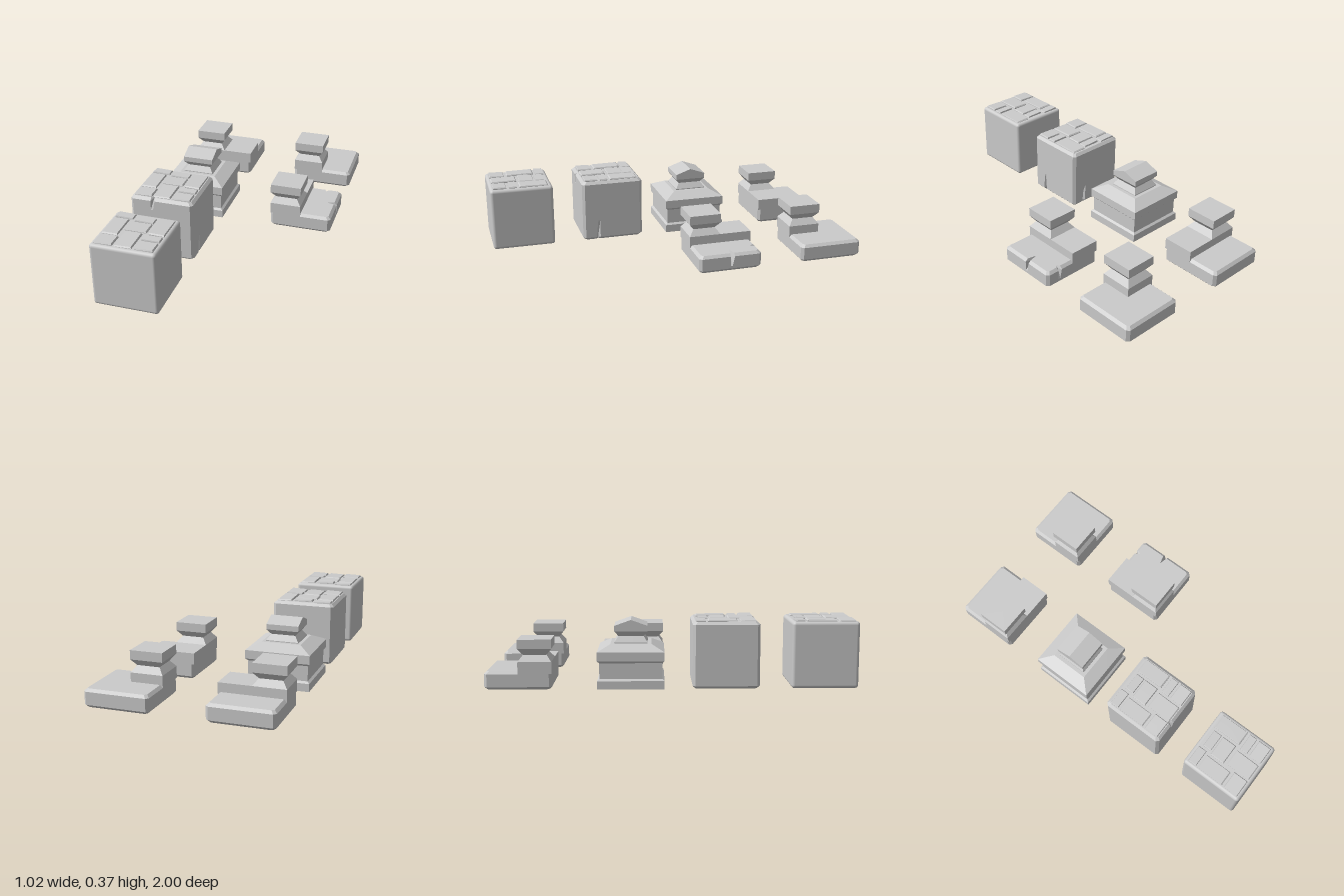
import * as THREE from 'three';
import { RoundedBoxGeometry } from 'three/addons/geometries/RoundedBoxGeometry.js';

const flat = new THREE.MeshStandardMaterial({ color: 0xcccccc, flatShading: true });
const smooth = new THREE.MeshStandardMaterial({ color: 0xcccccc });

// Square outline with cut corners; notch = { face: [offset, depth] }, faces 0..3 = +x, +z, -x, -z
function outline(half, y, cut = 0, notch = {}) {
  const pts = [];
  for (let f = 0; f < 4; f++) {
    const [t, d] = notch[f] || [0, 0];
    const a = f * Math.PI / 2, c = Math.cos(a), s = Math.sin(a), e = half - cut;
    for (const [u, v] of [[half, -e], [half, t - 0.012], [half - d, t], [half, t + 0.012], [half, e]]) {
      pts.push(new THREE.Vector3(u * c - v * s, y, u * s + v * c));
    }
  }
  return pts;
}

// Skin a stack of outlines [half, y, cut, notch] and close both ends
function loft(rows) {
  const rings = rows.map((r) => outline(...r));
  const pos = [];
  const tri = (...p) => p.forEach((v) => pos.push(v.x, v.y, v.z));
  const n = rings[0].length;
  const first = rings[0], last = rings[rings.length - 1];
  const c0 = new THREE.Vector3(0, first[0].y, 0), c1 = new THREE.Vector3(0, last[0].y, 0);
  for (let i = 0; i < n; i++) {
    const j = (i + 1) % n;
    tri(c0, first[i], first[j]);
    tri(c1, last[j], last[i]);
    for (let k = 0; k + 1 < rings.length; k++) {
      const a = rings[k], b = rings[k + 1];
      tri(a[i], b[i], a[j]);
      tri(a[j], b[i], b[j]);
    }
  }
  const g = new THREE.BufferGeometry();
  g.setAttribute('position', new THREE.Float32BufferAttribute(pos, 3));
  g.computeVertexNormals();
  return g;
}

function add(parent, name, geometry, x = 0, y = 0, z = 0, material = flat) {
  const m = new THREE.Mesh(geometry, material);
  m.name = name;
  m.position.set(x, y, z);
  parent.add(m);
  return m;
}

function piece(parent, name, x, z) {
  const g = new THREE.Group();
  g.name = name;
  g.position.set(x, 0, z);
  parent.add(g);
  return g;
}

// Paving stones: x0, z0, x1, z1 across the top, measured from the cube's centre
const STONES = [
  [-0.16, -0.16, -0.06, -0.11], [-0.16, -0.10, -0.075, 0.06], [-0.16, 0.075, -0.06, 0.16],
  [-0.045, -0.145, 0.06, -0.095], [-0.06, -0.085, 0.06, 0.0], [-0.05, 0.015, 0.045, 0.16],
  [0.075, -0.155, 0.16, 0.01], [0.06, 0.025, 0.16, 0.07], [0.06, 0.085, 0.16, 0.16],
];
function paving(parent) {
  const stone = loft([[0.5, 0], [0.5, 0.010], [0.46, 0.016]]);
  STONES.forEach(([x0, z0, x1, z1], i) => {
    const m = add(parent, 'pavingStone', stone, (x0 + x1) / 2, 0.353, (z0 + z1) / 2);
    m.scale.set(x1 - x0, 1, z1 - z0);
    m.rotation.z = ((i % 3) - 1) * 0.03;
    m.rotation.x = ((i % 2) - 0.5) * 0.03;
  });
}

// Bevelled slab, hollow underneath
function slab(parent, crack = 0) {
  const n = (d) => (crack ? { 0: [-0.01, d], 3: [0.09, d * 0.4] } : {});
  add(parent, 'slab', loft([
    [0.075, 0.075], [0.12, 0], [0.165, 0, 0.012], [0.18, 0.015, 0.015, n(0)],
    [0.18, 0.03, 0.015, n(0)], [0.18, 0.085, 0.015, n(crack)], [0.165, 0.10, 0.012, n(crack)],
  ]));
}

// Waisted corner post
function post(parent, x, z) {
  add(parent, 'post', loft([
    [0.09, 0.085], [0.09, 0.15], [0.0625, 0.185], [0.09, 0.22], [0.09, 0.27],
  ]), x, 0, z);
}

function raisedBlock(parent, x, z) {
  add(parent, 'raisedBlock', new THREE.BoxGeometry(0.18, 0.065, 0.18), x, 0.1175, z);
}

export function createModel() {
  const model = new THREE.Group();
  model.name = 'stoneBlocks';

  // Intact cube with rounded edges
  const cube = piece(model, 'roundedCube', -0.33, 0.82);
  add(cube, 'cubeBody', new RoundedBoxGeometry(0.36, 0.36, 0.36, 4, 0.018), 0, 0.18, 0, smooth);
  paving(cube);

  // Bevelled cube with chipped, cracked faces
  const cracked = piece(model, 'crackedCube', -0.33, 0.29);
  const chips = (top, low) => ({ 1: [0.05, top], 3: [0.10, low], 0: [0.09, low * 0.6] });
  add(cracked, 'cubeBody', loft([
    [0.165, 0, 0.012, chips(0, 0.02)], [0.18, 0.015, 0.015, chips(0, 0.03)],
    [0.18, 0.12, 0.015, chips(0, 0)], [0.18, 0.29, 0.015, chips(0, 0)],
    [0.18, 0.345, 0.015, chips(0.02, 0)], [0.165, 0.36, 0.012, chips(0.015, 0)],
  ]));
  paving(cracked);

  // Pillar cap: moulded base, sloping roof, waisted finial with a gable
  const cap = piece(model, 'pillarCap', -0.33, -0.22);
  add(cap, 'capBody', loft([
    [0.075, 0.075], [0.12, 0], [0.18, 0], [0.18, 0.045], [0.168, 0.055], [0.168, 0.14],
    [0.18, 0.152], [0.18, 0.20], [0.11, 0.235],
  ]));
  add(cap, 'finial', loft([
    [0.09, 0.23], [0.09, 0.24], [0.068, 0.272], [0.09, 0.30], [0.09, 0.33],
  ]));
  const gable = new THREE.Shape([
    new THREE.Vector2(-0.09, 0.33), new THREE.Vector2(0.09, 0.33), new THREE.Vector2(0, 0.362),
  ]);
  const roof = new THREE.ExtrudeGeometry(gable, { depth: 0.18, bevelEnabled: false });
  roof.translate(0, 0, -0.09).rotateY(Math.PI / 2);
  add(cap, 'gable', roof);

  // Edge piece with a post and a raised block beside it
  const edge = piece(model, 'edgePiece', -0.33, -0.82);
  slab(edge);
  post(edge, -0.09, 0.09);
  raisedBlock(edge, 0.09, 0.09);

  // Corner piece
  const corner = piece(model, 'cornerPiece', 0.33, -0.82);
  slab(corner);
  post(corner, -0.09, 0.09);

  // Cracked edge piece
  const worn = piece(model, 'crackedEdgePiece', 0.33, -0.22);
  slab(worn, 0.05);
  post(worn, -0.09, 0.09);
  raisedBlock(worn, -0.09, -0.09);

  return model;
}
